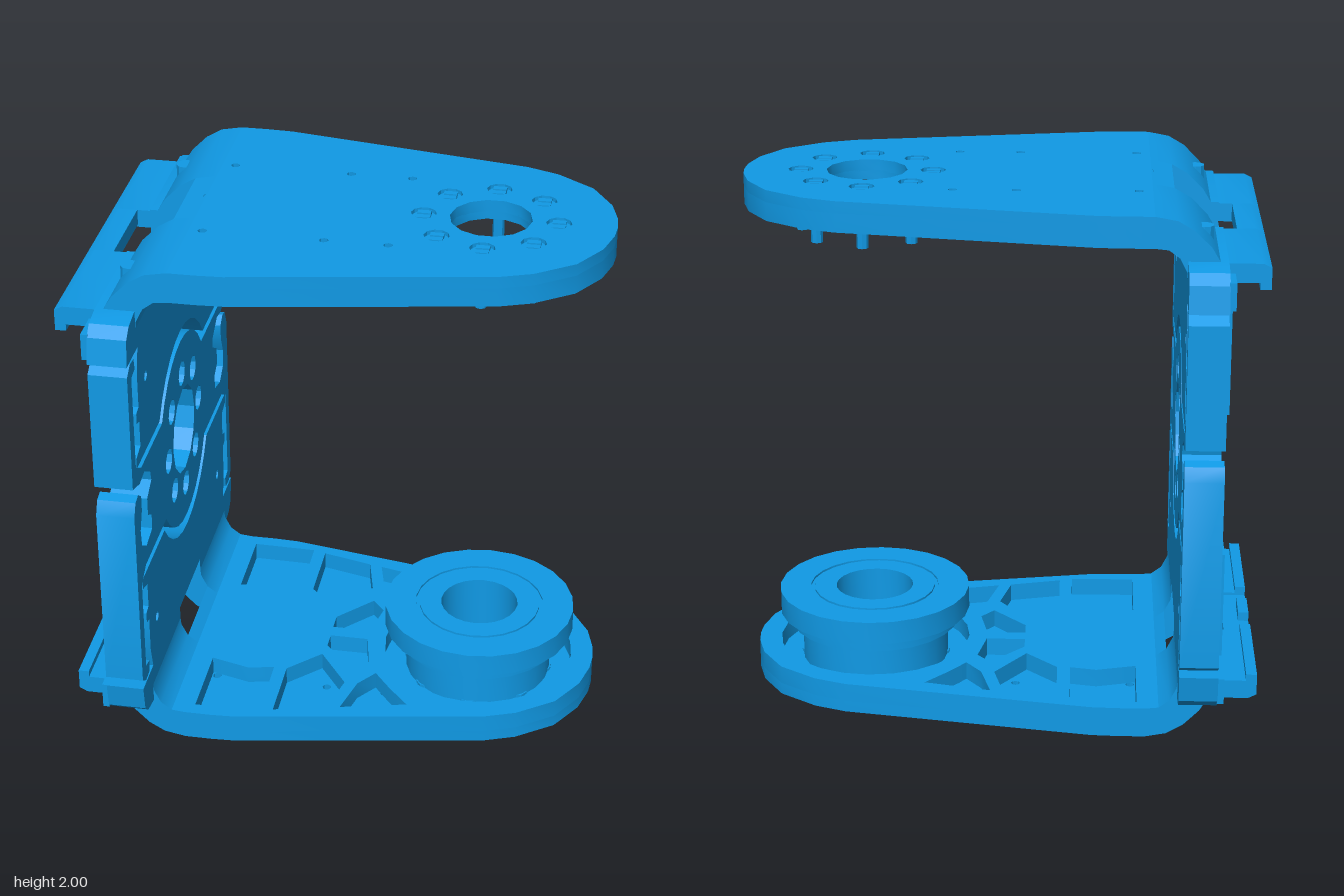
import * as THREE from 'three';
import { toCreasedNormals } from 'three/addons/utils/BufferGeometryUtils.js';

const blue = new THREE.MeshStandardMaterial({ color: 0x109ae6 });
const HORN_X = 0.5;      // centre of the horn end of each arm
const BOLT_R = 0.245;    // bolt circle radius
const OPTS = { bevelEnabled: false, curveSegments: 16 };

const shapeOf = pts => new THREE.Shape(pts.map(p => new THREE.Vector2(p[0], p[1])));
const pathOf = pts => new THREE.Path(pts.map(p => new THREE.Vector2(p[0], p[1])));
// closes a half outline by mirroring the given axis (0 or 1)
const mirrored = (half, axis) => half.concat(
  half.filter(p => Math.abs(p[axis]) > 1e-6).reverse().map(p => (axis ? [p[0], -p[1]] : [-p[0], p[1]])));
const circle = (cx, cy, r, n = 16) => Array.from({ length: n }, (_, i) => {
  const a = (i / n) * Math.PI * 2;
  return [cx + r * Math.cos(a), cy + r * Math.sin(a)];
});
const boltCircle = (cx, cy) => circle(cx, cy, BOLT_R, 8);
const withHoles = (shape, holes) => { shape.holes.push(...holes.map(pathOf)); return shape; };

const extrude = (shape, depth) => new THREE.ExtrudeGeometry(shape, { ...OPTS, depth });
// shape in (x, z), thick along y
const alongY = (s, y0, y1) => extrude(s, y1 - y0).rotateX(Math.PI / 2).translate(0, y1, 0);
// shape in (z, y), thick along x
const alongX = (s, x0, x1) => extrude(s, x1 - x0).rotateY(-Math.PI / 2).translate(x1, 0, 0);
// shape in (x, y), thick along z
const alongZ = (s, z0, z1) => extrude(s, z1 - z0).translate(0, 0, z0);

function add(group, name, geometry) {
  const mesh = new THREE.Mesh(toCreasedNormals(geometry, 0.5), blue);
  mesh.name = name;
  group.add(mesh);
  return mesh;
}

const ARM = mirrored([[0.955, 0], [0.95, 0.07], [0.92, 0.18], [0.84, 0.31], [0.7, 0.41], [0.58, 0.455],
  [-0.35, 0.62], [-0.45, 0.625], [-0.55, 0.625]], 1);
const POCKETS = [
  [[-0.52, 0.26], [-0.37, 0.3], [-0.27, 0.28], [-0.27, 0.565], [-0.52, 0.57]],
  [[-0.22, 0.28], [-0.1, 0.16], [0.02, 0.33], [-0.02, 0.5], [-0.22, 0.55]],
  [[0.03, 0.49], [0.07, 0.33], [0.13, 0.25], [0.2, 0.34], [0.28, 0.43]],
  [[-0.09, 0.03], [-0.09, 0.1], [0.04, 0.24], [0.09, 0.18], [0.06, 0.03]],
];

// One arm with its bend and lip; flip = true gives the lower one
function buildArm(flip) {
  const g = new THREE.Group();
  g.name = flip ? 'lowerArm' : 'upperArm';
  const Y = y => (flip ? 2 - y : y);
  const slab = (s, a, b) => alongY(s, Math.min(Y(a), Y(b)), Math.max(Y(a), Y(b)));
  const profile = pts => shapeOf(pts.map(([x, y]) => [x, Y(y)]));
  const bolts = boltCircle(HORN_X, 0);
  const pinHoles = [-0.5, -0.06, 0.17].flatMap(x => [-1, 1].map(s => circle(x, s * 0.28, 0.017, 8)));

  // outer skin and ribbed inner layer
  add(g, 'armSkin', slab(withHoles(shapeOf(ARM), [circle(-0.37, 0, 0.19, 18), circle(HORN_X, 0, 0.15, 14),
    ...bolts.map(p => circle(p[0], p[1], 0.047, 10)), ...pinHoles]), 1.955, 2));
  const both = POCKETS.flatMap(p => [p, p.map(([x, z]) => [x, -z])]);
  add(g, 'armRibs', slab(withHoles(shapeOf(ARM), [circle(-0.37, 0, 0.19, 18),
    circle(HORN_X, 0, 0.37, 24), ...both]), 1.885, 1.955));
  add(g, 'hubRing', slab(withHoles(shapeOf(circle(HORN_X, 0, 0.185, 18)), [circle(HORN_X, 0, 0.15, 14)]), 1.925, 1.96));

  // horn bolts with slotted heads
  for (const [x, z] of bolts) {
    add(g, 'boltShank', new THREE.CylinderGeometry(0.022, 0.022, 0.2, 8).translate(x, Y(1.87), z));
    add(g, 'boltHead', new THREE.CylinderGeometry(0.047, 0.047, 0.04, 10).translate(x, Y(1.965), z));
    for (const s of [-1, 1]) {
      add(g, 'boltHeadHalf', new THREE.BoxGeometry(0.05, 0.012, 0.025).translate(x, Y(1.991), z + s * 0.018));
    }
  }

  // bend into the back plate, split by a window, and hooked lip behind it
  const bend = [[-0.55, 2], [-0.63, 1.985], [-0.69, 1.95], [-0.75, 1.89], [-0.78, 1.84], [-0.81, 1.8], [-0.81, 1.75],
    [-0.67, 1.75], [-0.665, 1.8], [-0.64, 1.85], [-0.6, 1.88], [-0.55, 1.885]];
  const lip = [[-0.8, 1.835], [-0.93, 1.835], [-0.96, 1.82], [-0.96, 1.74], [-0.92, 1.74], [-0.92, 1.765], [-0.8, 1.765]];
  for (const [z0, z1] of [[-0.625, -0.175], [0.175, 0.625]]) {
    add(g, 'bend', alongZ(profile(bend), z0, z1));
    add(g, 'lip', alongZ(profile(lip), z0, z1));
  }
  add(g, 'windowEdge', alongZ(profile([[-0.55, 2], [-0.63, 1.985], [-0.64, 1.85], [-0.6, 1.88], [-0.55, 1.885]]), -0.175, 0.175));
  add(g, 'lipBridge', alongZ(profile([[-0.86, 1.835], [-0.93, 1.835], [-0.96, 1.82], [-0.96, 1.775], [-0.86, 1.775]]), -0.175, 0.175));
  add(g, 'lipTab', new THREE.BoxGeometry(0.04, 0.04, 0.14).translate(-0.94, Y(1.76), 0));
  for (const s of [-1, 1]) {
    add(g, 'bendScrew', new THREE.CylinderGeometry(0.035, 0.035, 0.06, 10).translate(-0.73, Y(1.89), s * 0.43));
  }
  return g;
}

// arc points around the plate centre, from straight up down to height h
function arc(r, h, n = 5) {
  const end = Math.acos(h / r);
  return Array.from({ length: n + 1 }, (_, i) => [r * Math.sin(end * i / n), r * Math.cos(end * i / n)]);
}

function buildPlate() {
  const g = new THREE.Group();
  g.name = 'backPlate';
  const X0 = -0.81, X1 = -0.668;

  // centre piece with side clips and bolt holes
  const half = [...arc(0.385, 0.21), [0.64, 0.21], [0.71, 0.25], [0.71, 0.62], [0.66, 0.63], [0.67, 0.675],
    [0.72, 0.68], [0.765, 0.65], [0.765, 0.19], [0.67, 0.16], [0.6, 0.17], [0.52, 0.12], [0.51, 0.08], [0.58, 0.04],
    [0.58, -0.03], [0.53, -0.06], [0.53, -0.12], [0.62, -0.14], [0.68, -0.1], [0.69, -0.03], [0.66, 0.04],
    [0.66, 0.1], [0.7, 0.13], [0.74, 0.12], [0.765, 0.07], [0.765, -0.65], [0.72, -0.68], [0.67, -0.675],
    [0.66, -0.63], [0.71, -0.62], [0.71, -0.25], [0.64, -0.21],
    ...arc(0.385, 0.21).reverse().map(([z, y]) => [z, -y])];
  const bolts = boltCircle(0, 0);
  add(g, 'centrePiece', alongX(withHoles(shapeOf(mirrored(half, 0)), [circle(0, 0, 0.175, 12),
    ...bolts.map(p => circle(p[0], p[1], 0.05, 10))]), X0, X1).translate(0, 1, 0));
  for (const [z, y] of bolts) {
    add(g, 'counterbore', alongX(withHoles(shapeOf(circle(z, y, 0.052, 10)), [circle(z, y, 0.025, 8)]), X0 + 0.002, -0.75)
      .translate(0, 1, 0));
  }

  // upper and lower panels with corner ears, pads and bridges
  const panel = [...arc(0.43, 0.24), [0.7, 0.24], [0.7, 0.28], [0.635, 0.3], [0.635, 0.4], [0.67, 0.41], [0.67, 0.45],
    [0.635, 0.46], [0.635, 0.6], [0.61, 0.69], [0.765, 0.69], [0.75, 0.79], [0.71, 0.825], [0.63, 0.84],
    [0.175, 0.84], [0.175, 0.72], [0, 0.72]];
  const pad = [[0.03, 0.45], [0.2, 0.41], [0.36, 0.27], [0.61, 0.27], [0.61, 0.67], [0.03, 0.67]];
  for (const s of [1, -1]) {
    const flip = pts => pts.map(([z, y]) => [z, s * y]);
    const holes = [-0.52, 0.52].map(z => circle(z, s * 0.525, 0.02, 8));
    add(g, s > 0 ? 'upperPanel' : 'lowerPanel',
      alongX(withHoles(shapeOf(flip(mirrored(panel, 0))), holes), X0, X1).translate(0, 1, 0));
    for (const m of [-1, 1]) {
      const padShape = shapeOf(flip(pad).map(([z, y]) => [m * z, y]));
      add(g, 'rearPad', alongX(withHoles(padShape, [circle(m * 0.52, s * 0.525, 0.02, 8)]), -0.828, X0)
        .translate(0, 1, 0));
      add(g, 'bridge', new THREE.BoxGeometry(0.06, 0.05, 0.06).translate(-0.76, 1 + s * 0.225, m * 0.43));
      add(g, 'earRidge', new THREE.BoxGeometry(0.025, 0.1, 0.12).translate(-0.82, 1 + s * 0.75, m * 0.69));
    }
  }
  return g;
}

export function createModel() {
  const model = new THREE.Group();
  model.name = 'servoBracket';
  model.add(buildArm(false), buildArm(true), buildPlate());

  // stepped horn disc on the lower arm
  const profile = [[0.15, 0.04], [0.285, 0.04], [0.285, 0.19], [0.325, 0.19], [0.325, 0.24], [0.37, 0.24], [0.37, 0.33],
    [0.25, 0.33], [0.25, 0.322], [0.235, 0.322], [0.235, 0.33], [0.15, 0.33], [0.15, 0.04]];
  add(model, 'hornDisc', new THREE.LatheGeometry(profile.map(p => new THREE.Vector2(p[0], p[1])), 24)
    .translate(HORN_X, 0, 0));
  return model;
}
